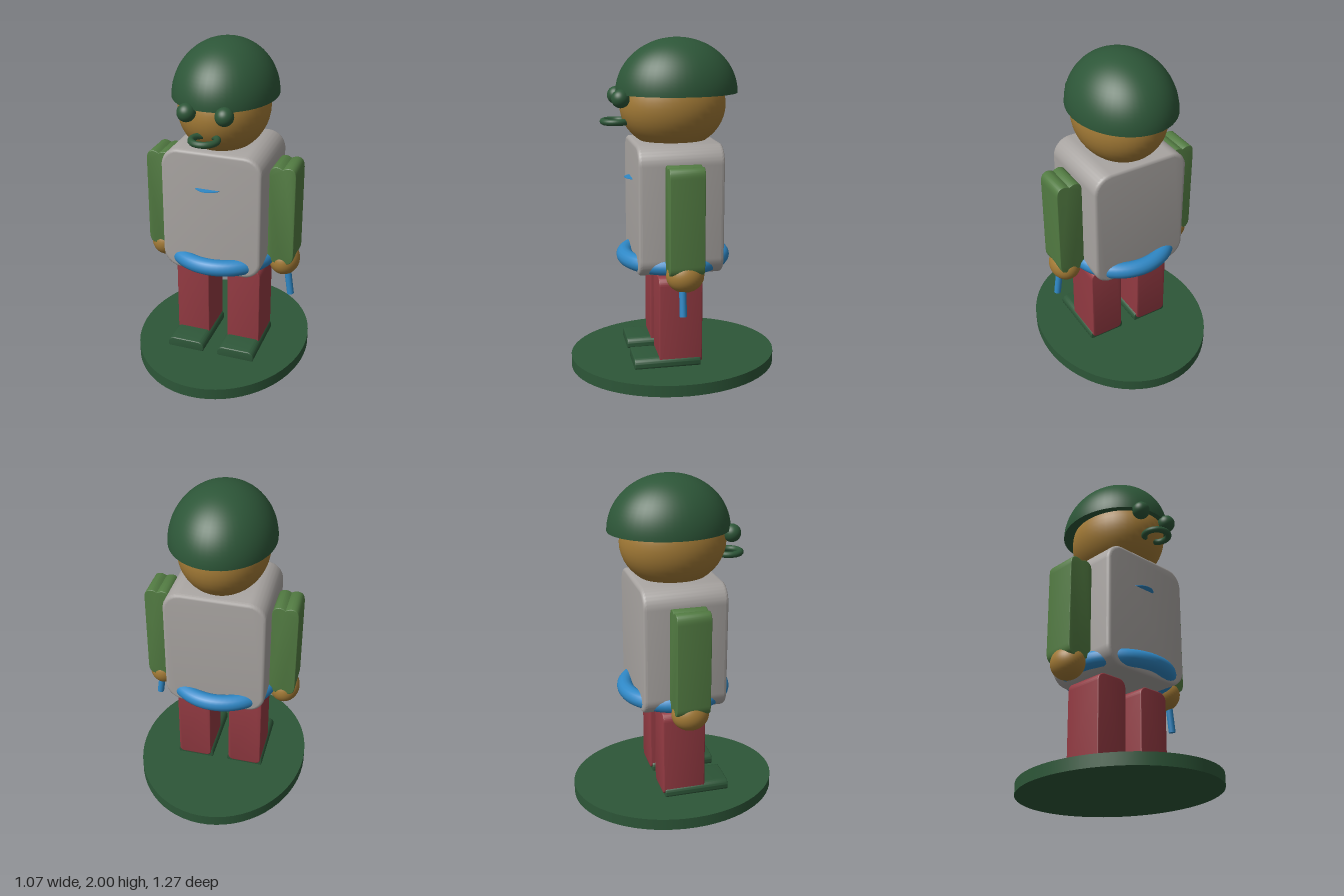
import * as THREE from 'three';
import { toCreasedNormals } from 'three/addons/utils/BufferGeometryUtils.js';

export function createModel() {
  const group = new THREE.Group();
  const material = (name, color) => {
    const m = new THREE.MeshStandardMaterial({ color });
    m.name = name;
    return m;
  };
  const darkGreen = material('dark green', 0x2d5638);
  const skin = material('skin', 0xa27a36);
  const grey = material('grey', 0xa8a4a1);
  const red = material('red', 0x933a42);
  const leafGreen = material('leaf green', 0x527b42);
  const blue = material('blue', 0x2f88c6);

  const add = (name, geometry, mat, x, y, z) => {
    const mesh = new THREE.Mesh(geometry, mat);
    mesh.name = name;
    mesh.position.set(x, y, z);
    group.add(mesh);
    return mesh;
  };

  // Centred extrusion of a front profile, with slightly eased front and back edges
  const prism = (shape, depth, bevel) => {
    const g = new THREE.ExtrudeGeometry(shape, {
      depth: depth - 2 * bevel, bevelEnabled: true, bevelThickness: bevel,
      bevelSize: bevel, bevelOffset: -bevel, bevelSegments: 3, curveSegments: 8,
    });
    g.translate(0, 0, -depth / 2 + bevel);
    return toCreasedNormals(g, 0.6);
  };
  const roundedRect = (w, h, rTop, rBottom = rTop) => {
    const x = w / 2, y = h / 2, s = new THREE.Shape();
    s.moveTo(-x + rBottom, -y);
    s.lineTo(x - rBottom, -y);
    s.absarc(x - rBottom, -y + rBottom, rBottom, -Math.PI / 2, 0);
    s.lineTo(x, y - rTop);
    s.absarc(x - rTop, y - rTop, rTop, 0, Math.PI / 2);
    s.lineTo(-x + rTop, y);
    s.absarc(-x + rTop, y - rTop, rTop, Math.PI / 2, Math.PI);
    s.lineTo(-x, -y + rBottom);
    s.absarc(-x + rBottom, -y + rBottom, rBottom, Math.PI, Math.PI * 1.5);
    return s;
  };
  // Sleeve profile with a shallow notch in the middle of each end
  const sleeveShape = (w, h) => {
    const x = w / 2, y = h / 2, s = new THREE.Shape();
    s.moveTo(0, -y + 0.012);
    s.quadraticCurveTo(0.02, -y, 0.035, -y);
    s.quadraticCurveTo(x, -y, x, -y + 0.06);
    s.lineTo(x, y - 0.06);
    s.quadraticCurveTo(x, y, 0.035, y);
    s.quadraticCurveTo(0.02, y, 0, y - 0.012);
    s.quadraticCurveTo(-0.02, y, -0.035, y);
    s.quadraticCurveTo(-x, y, -x, y - 0.06);
    s.lineTo(-x, -y + 0.06);
    s.quadraticCurveTo(-x, -y, -0.035, -y);
    s.quadraticCurveTo(-0.02, -y, 0, -y + 0.012);
    return s;
  };

  // Oval stand
  const base = add('base', new THREE.CylinderGeometry(1, 1, 0.07, 64), darkGreen, 0, 0.035, 0);
  base.scale.set(0.534, 1, 0.635);

  // Torso and the ring belt around its lower edge
  add('torso', prism(roundedRect(0.61, 0.77, 0.11), 0.5, 0.02), grey, 0, 1.02, 0);
  const belt = add('belt', new THREE.TorusGeometry(0.295, 0.05, 16, 64), blue, 0, 0.7, 0);
  belt.rotation.x = Math.PI / 2;

  // Thin badge disc set into the chest
  add('chestBadge', new THREE.CylinderGeometry(0.09, 0.09, 0.003, 32), blue, -0.02, 1.18, 0.2);

  // Mirrored limbs and eyes
  const legGeo = prism(roundedRect(0.21, 0.54, 0.05, 0.03), 0.26, 0.006);
  const shoeGeo = prism(roundedRect(0.235, 0.08, 0.038), 0.4, 0.006);
  const armGeo = prism(sleeveShape(0.158, 0.62), 0.2, 0.004);
  const ball = new THREE.SphereGeometry(1, 40, 24);
  for (const [side, s] of [['left', 1], ['right', -1]]) {
    add(side + 'Leg', legGeo, red, s * 0.165, 0.355, 0);
    add(side + 'Shoe', shoeGeo, darkGreen, s * 0.163, 0.09, 0.08);
    add(side + 'Arm', armGeo, leafGreen, s * 0.383, 1, 0);
    add(side + 'Hand', ball, skin, s * 0.385, 0.677, 0).scale.set(0.093, 0.098, 0.11);
    add(side + 'Eye', ball, darkGreen, s * 0.11, 1.66, 0.322).scale.setScalar(0.053);
  }

  // Short stick held in the left hand
  const stick = add('stick', new THREE.CylinderGeometry(0.021, 0.021, 0.24, 20), blue, 0.419, 0.567, 0.02);
  stick.rotation.z = 0.14;

  // Head and ring mouth
  add('head', ball, skin, 0, 1.61, 0).scale.set(0.265, 0.265, 0.315);
  const mouth = add('mouth', new THREE.TorusGeometry(0.073, 0.019, 14, 40), darkGreen, 0, 1.519, 0.34);
  mouth.rotation.x = Math.PI / 2;

  // Helmet dome with a closed underside
  const dome = new THREE.SphereGeometry(1, 48, 20, 0, Math.PI * 2, 0, Math.PI / 2);
  add('helmet', dome, darkGreen, 0, 1.68, -0.024).scale.set(0.305, 0.32, 0.361);
  const rim = add('helmetUnderside', new THREE.CircleGeometry(1, 48), darkGreen, 0, 1.68, -0.024);
  rim.rotation.x = Math.PI / 2;
  rim.scale.set(0.305, 0.361, 1);

  return group;
}
